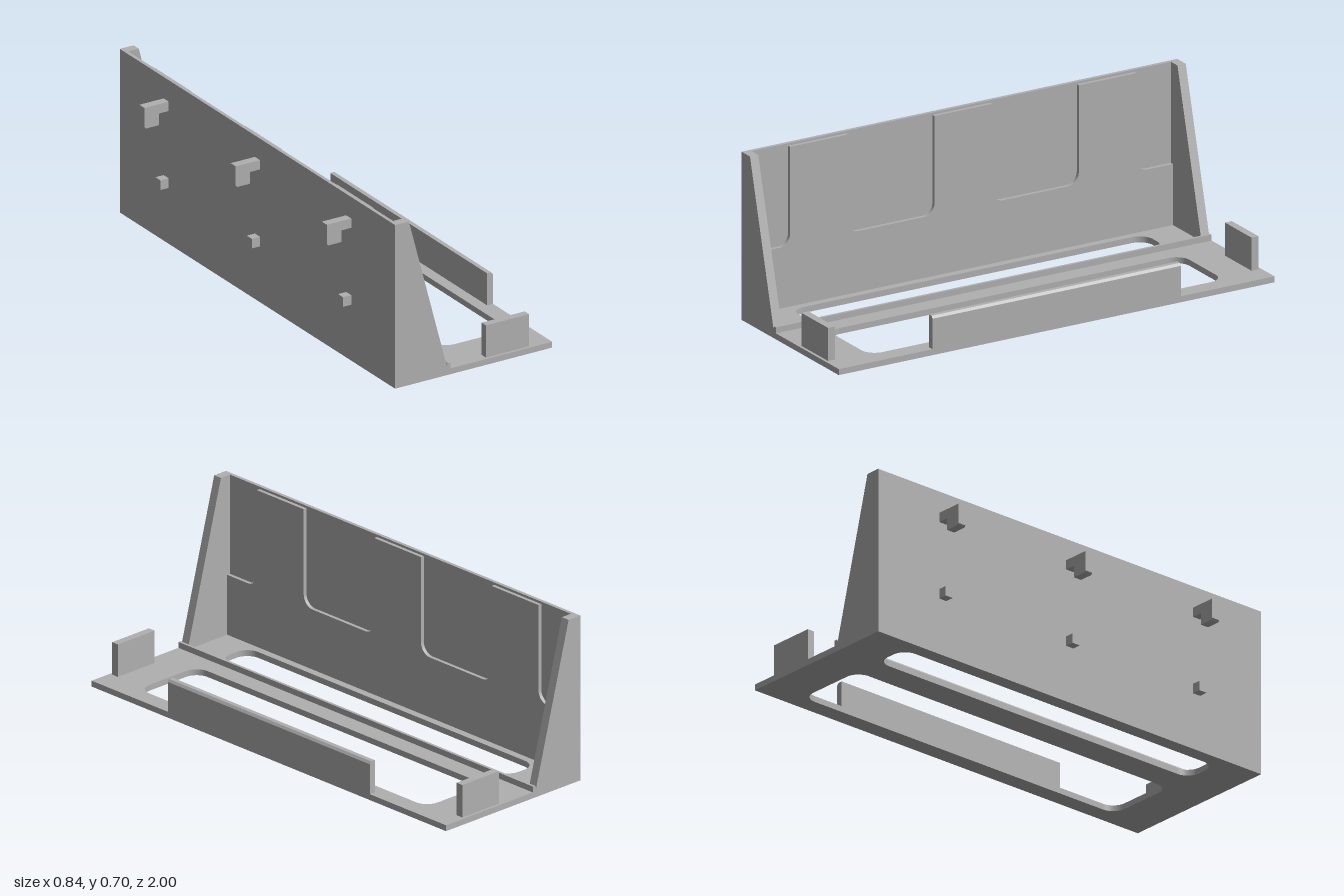
import * as THREE from 'three';

export function createModel() {
  const group = new THREE.Group();
  const grey = new THREE.MeshStandardMaterial({ color: 0xb0b0b0 });
  grey.name = 'matte grey';

  const add = (name, geometry, x = 0, y = 0, z = 0) => {
    const mesh = new THREE.Mesh(geometry, grey);
    mesh.name = name;
    mesh.position.set(x, y, z);
    group.add(mesh);
  };
  // Box given by its lower and upper corners
  const box = (name, x0, x1, y0, y1, z0, z1) =>
    add(name, new THREE.BoxGeometry(x1 - x0, y1 - y0, z1 - z0),
      (x0 + x1) / 2, (y0 + y1) / 2, (z0 + z1) / 2);
  const extrude = (shape, depth) =>
    new THREE.ExtrudeGeometry(shape, { depth, bevelEnabled: false, curveSegments: 8 });
  // Side profile in x and y, extruded along z and centred on zMid
  const profile = (name, points, width, zMid) => {
    const shape = new THREE.Shape(points.map(([x, y]) => new THREE.Vector2(x, y)));
    add(name, extrude(shape, width), 0, 0, zMid - width / 2);
  };
  const roundedRect = (x0, x1, y0, y1, r) => {
    const p = new THREE.Path();
    p.absarc(x1 - r, y1 - r, r, 0, Math.PI / 2);
    p.absarc(x0 + r, y1 - r, r, Math.PI / 2, Math.PI);
    p.absarc(x0 + r, y0 + r, r, Math.PI, Math.PI * 1.5);
    p.absarc(x1 - r, y0 + r, r, Math.PI * 1.5, Math.PI * 2);
    p.closePath();
    return p;
  };

  // Base plate with two long rounded openings
  const floor = 0.025;
  const plate = new THREE.Shape([
    new THREE.Vector2(-0.31, -1), new THREE.Vector2(0.42, -1),
    new THREE.Vector2(0.42, 1), new THREE.Vector2(-0.31, 1),
  ]);
  plate.holes.push(roundedRect(-0.248, -0.095, -0.813, 0.813, 0.06));
  plate.holes.push(roundedRect(0.027, 0.345, -0.813, 0.813, 0.06));
  add('basePlate', extrude(plate, floor).rotateX(Math.PI / 2), 0, floor, 0);

  // Back wall: thin sheet plus a raised facing that leaves pockets open at the top
  box('backWall', -0.31, -0.295, floor, 0.702, -0.965, 0.965);
  const top = 0.692, low = 0.28, r = 0.05;
  const facing = new THREE.Shape();
  facing.moveTo(-0.965, floor);
  facing.lineTo(0.965, floor);
  facing.lineTo(0.965, low);
  facing.lineTo(0.795 + r, low);
  facing.absarc(0.795 + r, low + r, r, -Math.PI / 2, -Math.PI, true);
  facing.lineTo(0.795, top);
  for (const [a, b] of [[0.53, 0.132], [-0.132, -0.53]]) {
    facing.lineTo(a, top);
    facing.lineTo(a, low + r);
    facing.absarc(a - r, low + r, r, 0, -Math.PI / 2, true);
    facing.absarc(b + r, low + r, r, -Math.PI / 2, -Math.PI, true);
    facing.lineTo(b, top);
  }
  facing.lineTo(-0.795, top);
  facing.lineTo(-0.795, low + r);
  facing.absarc(-0.795 - r, low + r, r, 0, -Math.PI / 2, true);
  facing.lineTo(-0.965, low);
  facing.closePath();
  add('wallFacing', extrude(facing, 0.015).rotateY(-Math.PI / 2), -0.28, 0, 0);

  // Sloped end panels and small end tabs
  for (const s of [1, -1]) {
    profile(s > 0 ? 'frontEndPanel' : 'backEndPanel',
      [[-0.31, floor], [-0.07, floor], [-0.07, 0.04], [-0.246, 0.702], [-0.31, 0.702]],
      0.038, s * 0.981);
    box(s > 0 ? 'frontTab' : 'backTab', 0.12, 0.32, floor, 0.163,
      s * 0.972 - 0.016, s * 0.972 + 0.016);
  }

  // Low ridge along the base
  profile('ridge',
    [[-0.07, floor], [-0.052, floor], [-0.052, 0.05], [-0.064, 0.05], [-0.07, 0.042]], 2, 0);

  // Retaining lip on the outer edge
  profile('retainingLip',
    [[0.393, floor], [0.42, floor], [0.42, 0.152], [0.412, 0.162], [0.393, 0.162]], 1.14, 0);

  // Hanging hooks and spacer pegs behind the wall
  for (const z of [-0.663, 0, 0.663]) {
    profile('hook',
      [[-0.31, 0.57], [-0.31, 0.61], [-0.423, 0.61], [-0.423, 0.527],
        [-0.416, 0.52], [-0.356, 0.52], [-0.356, 0.57]], 0.037, z);
    box('peg', -0.348, -0.31, 0.24, 0.281, z - 0.0185, z + 0.0185);
  }
  return group;
}
